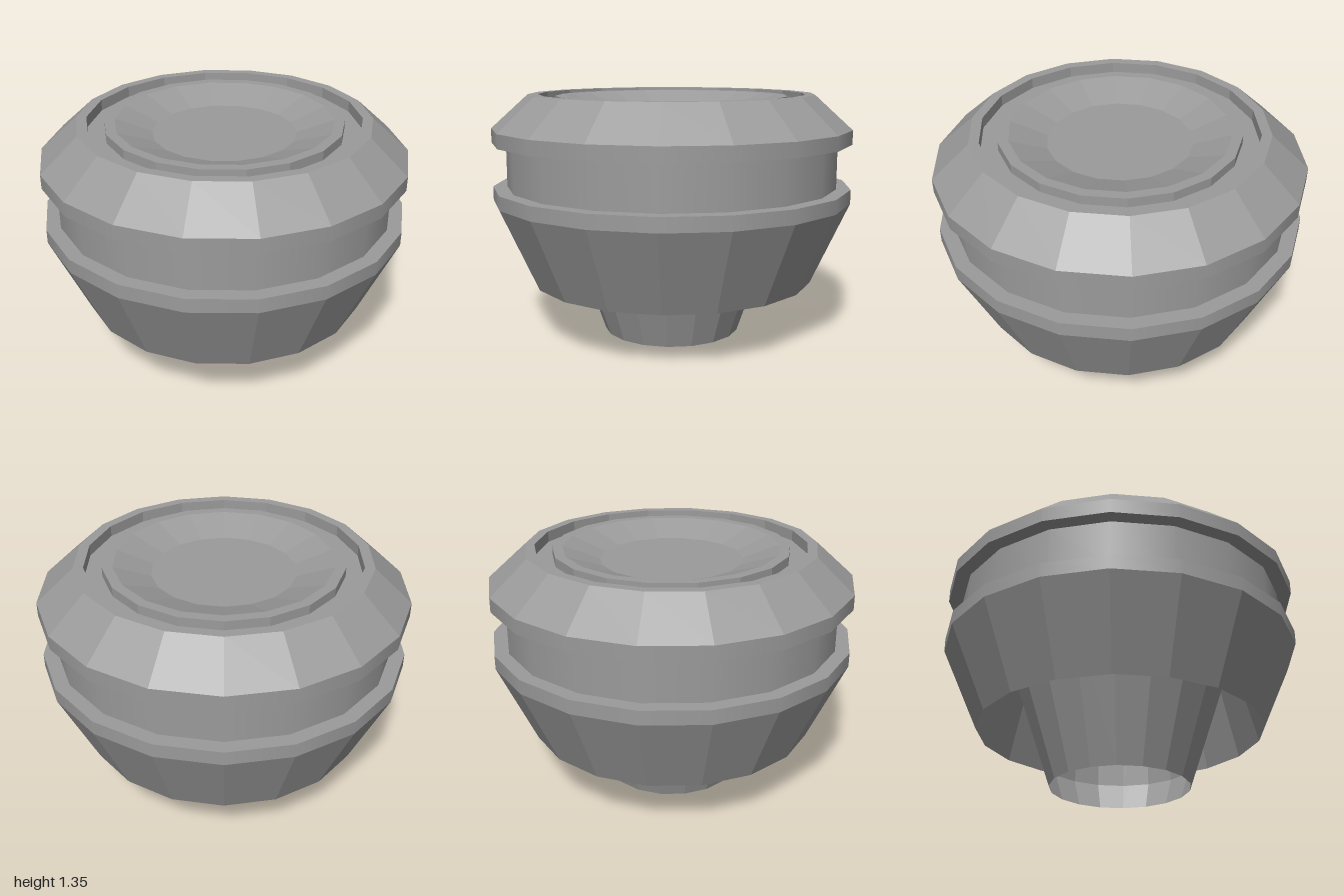
import * as THREE from 'three';

const SIDES = 18;

// Revolves a profile of [radius, height] pairs, with a corner on the x axis
function turned(name, profile, flatShading = true) {
  const points = profile.map(([r, y]) => new THREE.Vector2(r, y));
  const geometry = new THREE.LatheGeometry(points, SIDES, Math.PI / SIDES);
  geometry.normalizeNormals();
  const material = new THREE.MeshStandardMaterial({
    color: 0x9b9b9b, flatShading, side: THREE.DoubleSide,
  });
  const mesh = new THREE.Mesh(geometry, material);
  mesh.name = name;
  return mesh;
}

export function createModel() {
  const model = new THREE.Group();
  model.name = 'steppedKnob';

  model.add(
    // Hollow flared stem, running up inside the bowl
    turned('stem', [[0.385, 0], [0.67, 0.84]]),
    // Bore set back from the foot of the stem
    turned('stemBore', [[0.434, 0.15], [0.4, 0.84]]),
    // Bowl, hollow below, with a tapering inner wall
    turned('bowl', [[0.795, 0.31], [1, 0.765]]),
    turned('bowlInside', [[0.795, 0.31], [0.66, 0.82]]),
    // Smooth band and flat ledge around the top of the bowl
    turned('bowlBand', [[1, 0.765], [1, 0.842]], false),
    turned('bowlLedge', [[1, 0.842], [0, 0.842]]),
    // Smooth recessed neck
    turned('neck', [[0.922, 0.842], [0.922, 1.087]], false),
    // Flat underside and smooth band of the cap
    turned('capUnderside', [[0, 1.087], [1, 1.087]]),
    turned('capBand', [[1, 1.087], [1, 1.165]], false),
    // Bevelled cap with a ring groove around a raised lip
    turned('cap', [
      [1, 1.165], [0.795, 1.35], [0.74, 1.35],
      [0.74, 1.29], [0.645, 1.29], [0.645, 1.34], [0.59, 1.34],
    ]),
    // Shallow dish in the top
    turned('dish', [[0.59, 1.34], [0.39, 1.27], [0, 1.27]]),
  );
  return model;
}
